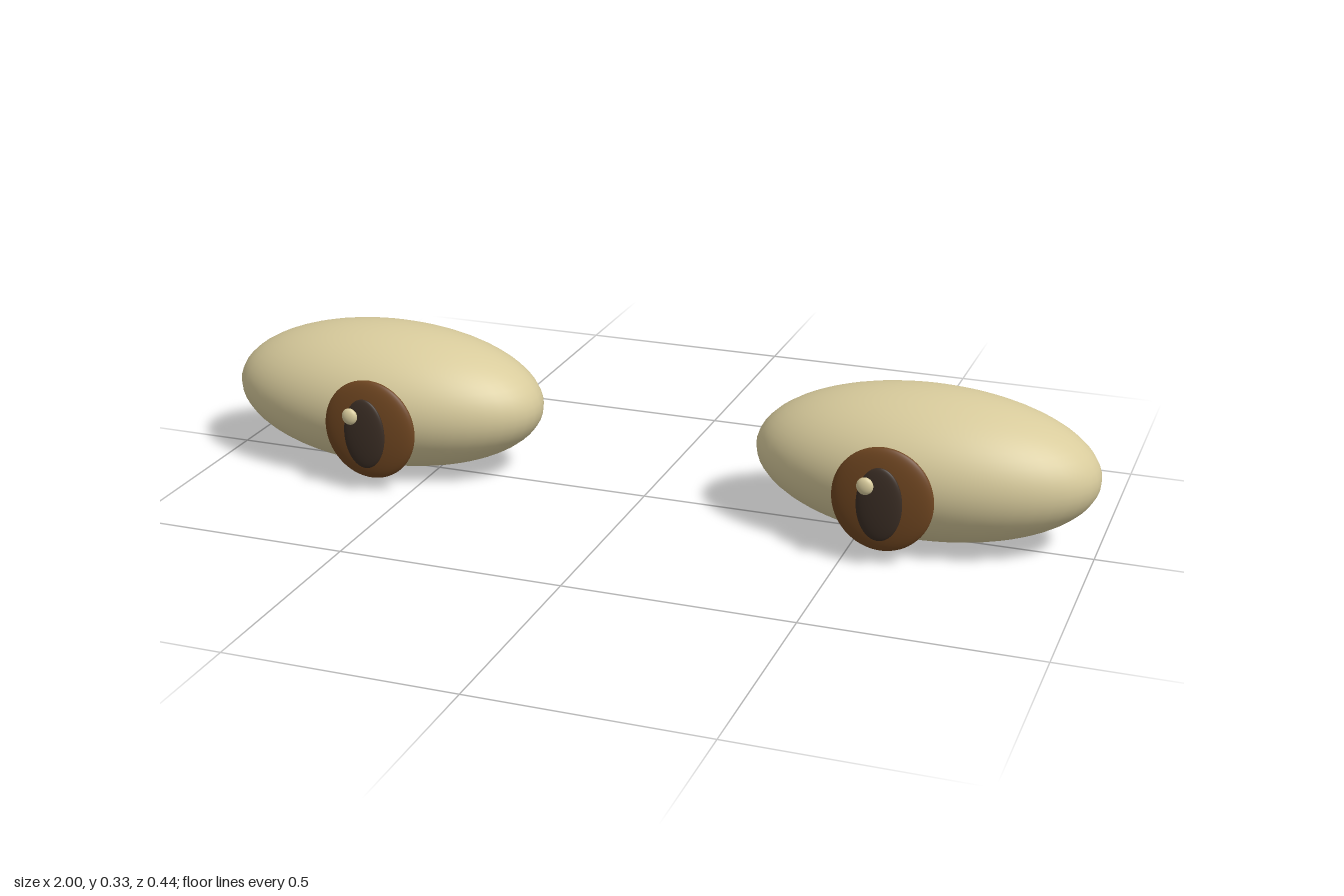
import * as THREE from 'three';

const material = (name, color) => {
  const m = new THREE.MeshStandardMaterial({ color });
  m.name = name;
  return m;
};

export function createModel() {
  const ivory = material('ivory', 0xd8cb9c);
  const brown = material('brown', 0x6e4520);
  const dark = material('darkBrown', 0x3a2d24);
  const ball = new THREE.SphereGeometry(1, 48, 32);

  // Every part is a stretched sphere
  const ellipsoid = (name, mat, position, radii) => {
    const mesh = new THREE.Mesh(ball, mat);
    mesh.name = name;
    mesh.position.set(...position);
    mesh.scale.set(...radii);
    return mesh;
  };

  const model = new THREE.Group();
  model.name = 'eyes';
  for (const [name, side, irisX] of [['leftEye', 1, 0.583], ['rightEye', -1, -0.587]]) {
    const eye = new THREE.Group();
    eye.name = name;
    eye.add(
      ellipsoid('eyeball', ivory, [side * 0.628, 0.164, -0.023], [0.372, 0.163, 0.195]),
      ellipsoid('iris', brown, [irisX, 0.145, 0.17], [0.109, 0.115, 0.023]),
      ellipsoid('pupil', dark, [irisX, 0.144, 0.198], [0.049, 0.081, 0.012]),
      // Both highlights sit on the same side, towards -x
      ellipsoid('highlight', ivory, [irisX - 0.028, 0.186, 0.21], [0.018, 0.019, 0.01]),
    );
    model.add(eye);
  }
  return model;
}
